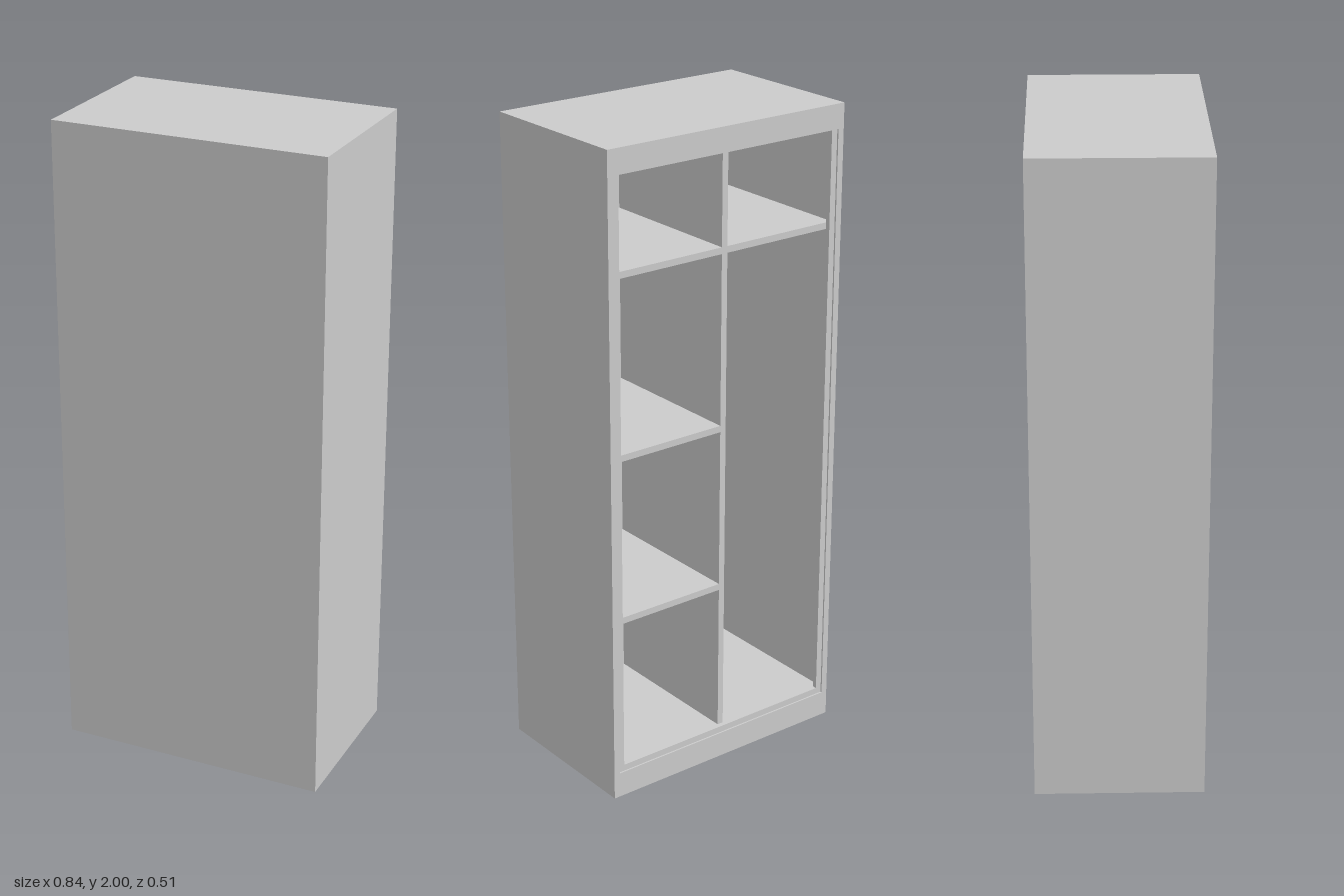
import * as THREE from 'three';

const W = 0.84, H = 2, D = 0.515, T = 0.02; // overall size and board thickness

export function createModel() {
  const group = new THREE.Group();
  const mat = new THREE.MeshStandardMaterial({ color: 0xcccccc });

  // A board given by its limits on each axis
  const board = (name, x0, x1, y0, y1, z0, z1) => {
    const mesh = new THREE.Mesh(new THREE.BoxGeometry(x1 - x0, y1 - y0, z1 - z0), mat);
    mesh.position.set((x0 + x1) / 2, (y0 + y1) / 2, (z0 + z1) / 2);
    mesh.name = name;
    group.add(mesh);
  };

  const xi = W / 2 - T;          // inner face of the side panels
  const zb = -D / 2, zf = D / 2; // open face and closed face
  const plinth = 0.08, rail = 0.075, panel = 0.006;
  const zIn = zb + T, zEnd = zf - panel;

  // Outer carcass
  board('leftSide', xi, W / 2, 0, H, zb, zf);
  board('rightSide', -W / 2, -xi, 0, H, zb, zf);
  board('topPanel', -xi, xi, H - T, H, zb, zf);
  board('base', -xi, xi, 0, plinth, zb, zf);
  board('closingPanel', -xi, xi, plinth, H - T, zEnd, zf);

  // Frame around the open face
  board('topRail', -xi, xi, H - rail, H - T, zb, zIn);
  for (const s of [-1, 1]) {
    const a = s * xi, b = s * (xi - T);
    board(s > 0 ? 'leftStile' : 'rightStile', Math.min(a, b), Math.max(a, b),
      plinth + T, H - rail, zb + 0.005, zIn);
  }

  // Interior: floor, divider and shelves
  board('floor', -xi, xi, plinth, plinth + T, zb + 0.005, zEnd);
  board('divider', -T / 2, T / 2, plinth + T, H - T, zIn, zEnd);
  for (const y of [0.575, 1.09, 1.635])
    board('leftShelf', T / 2, xi, y - T / 2, y + T / 2, zIn, zEnd);
  board('rightShelf', -xi, -T / 2, 1.635 - T / 2, 1.635 + T / 2, zIn, zEnd);

  return group;
}
